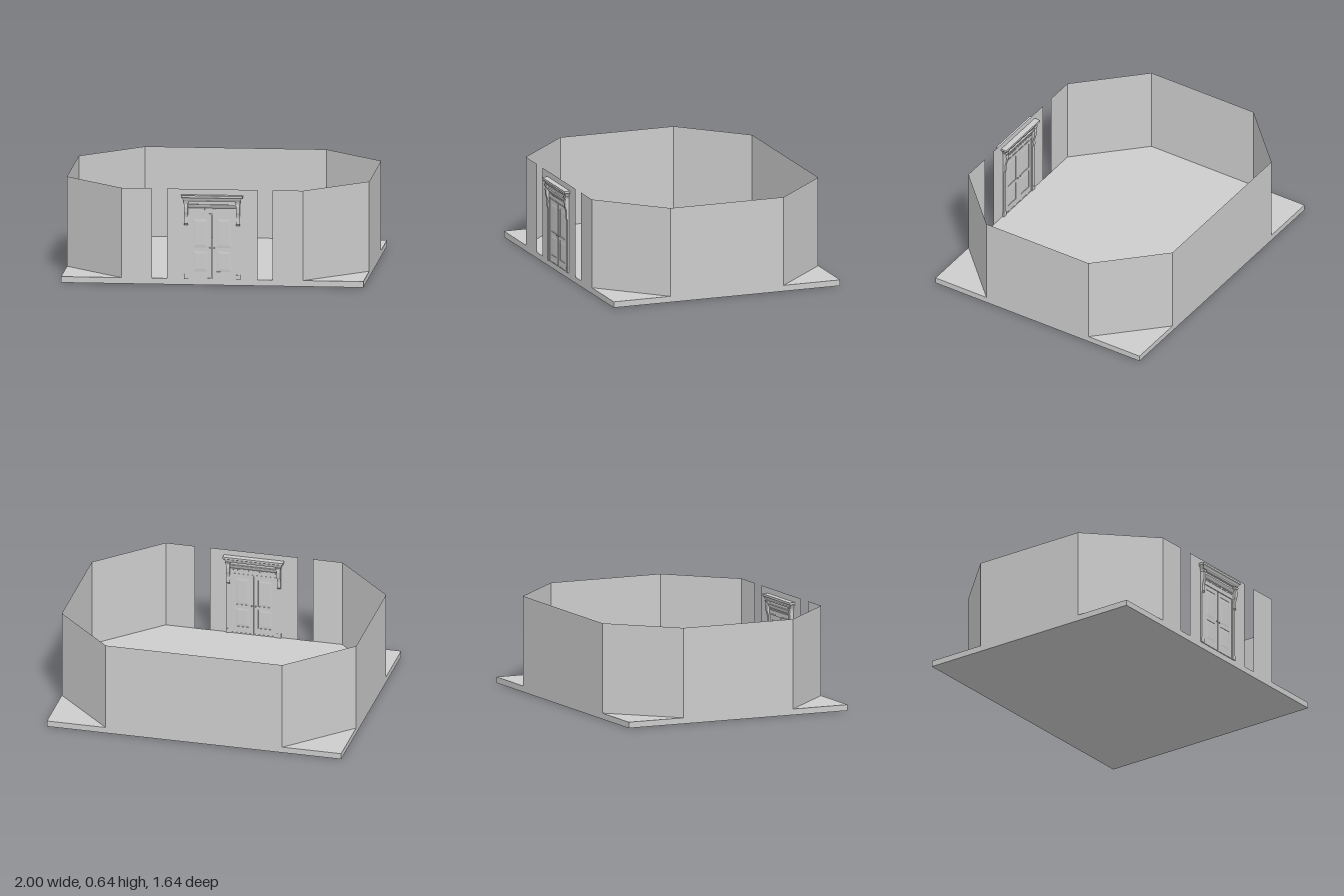
import * as THREE from 'three';

const plaster = new THREE.MeshStandardMaterial({ color: 0xcccccc, side: THREE.DoubleSide });
plaster.name = 'light grey';

const FLOOR = 0.04, TOP = 0.64, DOOR_Z = 0.78;

function part(parent, name, geometry, x = 0, y = 0, z = 0) {
  const mesh = new THREE.Mesh(geometry, plaster);
  mesh.name = name;
  mesh.position.set(x, y, z);
  parent.add(mesh);
  return mesh;
}

// Box from its lower and upper limits in x and y, centred in z with a given depth
function slab(parent, name, x0, x1, y0, y1, depth) {
  return part(parent, name, new THREE.BoxGeometry(x1 - x0, y1 - y0, depth), (x0 + x1) / 2, (y0 + y1) / 2);
}

// Stack of rectangular sections [y, halfX, halfZ], capped at both ends
function rectLoft(sections) {
  const rings = sections.map(([y, a, b]) => [[a, y, b], [a, y, -b], [-a, y, -b], [-a, y, b]]);
  const pos = [];
  const quad = (a, b, c, d) => pos.push(...a, ...b, ...c, ...a, ...c, ...d);
  for (let i = 0; i < rings.length - 1; i++) {
    const lo = rings[i], hi = rings[i + 1];
    for (let k = 0; k < 4; k++) quad(lo[k], lo[(k + 1) % 4], hi[(k + 1) % 4], hi[k]);
  }
  quad(...rings[rings.length - 1]);
  quad(...rings[0].slice().reverse());
  const g = new THREE.BufferGeometry();
  g.setAttribute('position', new THREE.Float32BufferAttribute(pos, 3));
  g.computeVertexNormals();
  return g;
}

function rectPath(Type, x0, x1, y0, y1) {
  const p = new Type();
  p.moveTo(x0, y0);
  p.lineTo(x1, y0);
  p.lineTo(x1, y1);
  p.lineTo(x0, y1);
  p.closePath();
  return p;
}

// Thin upright wall between two floor points
function wall(parent, name, [x0, z0], [x1, z1]) {
  const g = new THREE.PlaneGeometry(Math.hypot(x1 - x0, z1 - z0), TOP - FLOOR);
  const m = part(parent, name, g, (x0 + x1) / 2, (FLOOR + TOP) / 2, (z0 + z1) / 2);
  m.rotation.y = -Math.atan2(z1 - z0, x1 - x0);
}

function buildDoor() {
  const door = new THREE.Group();
  door.name = 'door';
  door.position.z = DOOR_Z;

  // Two leaves, each with a tall and a short raised panel
  for (const s of [-1, 1]) {
    const cx = s * 0.0775;
    const leaf = rectPath(THREE.Shape, cx - 0.076, cx + 0.076, 0.045, 0.47);
    const panels = [[0.25, 0.44], [0.09, 0.225]];
    for (const [y0, y1] of panels) {
      leaf.holes.push(rectPath(THREE.Path, cx - 0.048, cx + 0.048, y0, y1));
      const hx = 0.048, hy = (y1 - y0) / 2;
      const g = rectLoft([
        [-0.003, hx - 0.016, hy - 0.016], [-0.001, hx, hy],
        [0.001, hx, hy], [0.003, hx - 0.016, hy - 0.016],
      ]).rotateX(Math.PI / 2);
      part(door, 'doorPanel', g, cx, (y0 + y1) / 2);
    }
    const g = new THREE.ExtrudeGeometry(leaf, { depth: 0.008, bevelEnabled: false });
    part(door, 'doorLeaf', g.translate(0, 0, -0.004));
    for (const side of [-1, 1]) {
      part(door, 'doorKnob', new THREE.SphereGeometry(0.005, 10, 8), s * 0.014, 0.25, side * 0.007);
    }
  }
  slab(door, 'threshold', -0.155, 0.155, FLOOR, 0.046, 0.012);

  // Jambs with plinths, inner stops and scrolled brackets
  const half = [[0.01, 0.4], [0.017, 0.41], [0.015, 0.45], [0.019, 0.47],
    [0.026, 0.49], [0.028, 0.525], [0.024, 0.545], [0.024, 0.56]];
  const outline = [...half, ...half.slice().reverse().map(([z, y]) => [-z, y])];
  const bracketShape = new THREE.Shape(outline.map(([z, y]) => new THREE.Vector2(z, y)));
  for (const s of [-1, 1]) {
    const box = (name, x, w, y0, y1, d) => slab(door, name, s * x - w / 2, s * x + w / 2, y0, y1, d);
    box('jamb', 0.172, 0.024, FLOOR, 0.56, 0.018);
    box('jambPlinth', 0.172, 0.03, FLOOR, 0.07, 0.022);
    box('doorStop', 0.157, 0.008, FLOOR, 0.48, 0.013);
    const g = new THREE.ExtrudeGeometry(bracketShape, { depth: 0.024, bevelEnabled: false });
    g.translate(0, 0, -0.012).rotateY(Math.PI / 2);
    part(door, 'bracket', g, s * 0.172);
    part(door, 'bracketCap', rectLoft([[0.545, 0.014, 0.028], [0.56, 0.018, 0.032]]), s * 0.172);
  }

  // Header with a sloped moulding and a row of dentils
  slab(door, 'header', -0.16, 0.16, 0.47, 0.565, 0.016);
  part(door, 'headerMoulding', rectLoft([
    [0.515, 0.158, 0.009], [0.522, 0.158, 0.014], [0.535, 0.158, 0.02], [0.54, 0.158, 0.02],
  ]));
  slab(door, 'headerLip', -0.155, 0.155, 0.47, 0.478, 0.02);
  for (let i = 0; i < 20; i++) {
    const x = -0.1425 + i * 0.015;
    slab(door, 'dentil', x - 0.004, x + 0.004, 0.502, 0.512, 0.022);
  }

  // Crowning cornice
  part(door, 'cornice', rectLoft([
    [0.56, 0.184, 0.022], [0.567, 0.188, 0.024], [0.572, 0.19, 0.03],
    [0.583, 0.198, 0.034], [0.588, 0.204, 0.04], [0.602, 0.204, 0.04],
  ]));
  return door;
}

export function createModel() {
  const model = new THREE.Group();
  model.name = 'room';

  // Floor slab
  part(model, 'floor', new THREE.BoxGeometry(2, FLOOR, 1.6), 0, FLOOR / 2, -0.02);

  // Side, corner and back walls
  for (const s of [-1, 1]) {
    wall(model, 'frontWall', [s * 0.6, 0.78], [s * 0.4, 0.78]);
    wall(model, 'frontCornerWall', [s * 0.6, 0.78], [s, 0.38]);
    wall(model, 'sideWall', [s, 0.38], [s, -0.42]);
    wall(model, 'backCornerWall', [s, -0.42], [s * 0.6, -0.82]);
  }
  wall(model, 'backWall', [-0.6, -0.82], [0.6, -0.82]);

  // Wall around the doorway, standing between two open slots
  const doorWall = new THREE.Shape([
    [-0.3, FLOOR], [-0.17, FLOOR], [-0.17, 0.58], [0.17, 0.58],
    [0.17, FLOOR], [0.3, FLOOR], [0.3, TOP], [-0.3, TOP],
  ].map(([x, y]) => new THREE.Vector2(x, y)));
  part(model, 'doorWall', new THREE.ShapeGeometry(doorWall), 0, 0, DOOR_Z);

  model.add(buildDoor());
  return model;
}
